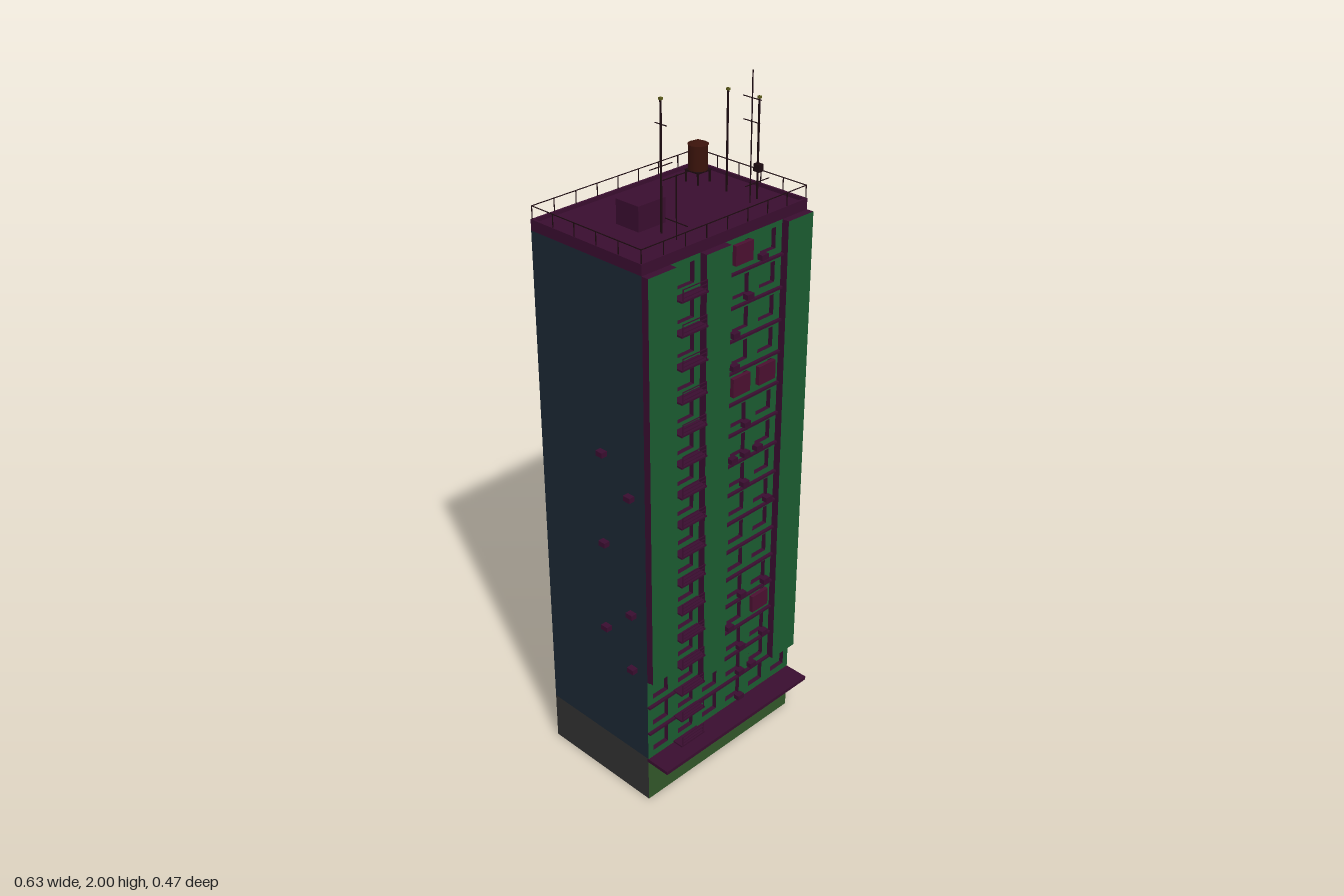
import * as THREE from 'three';

const mat = (color, side = THREE.FrontSide) => new THREE.MeshStandardMaterial({ color, side });

export function createModel() {
  const root = new THREE.Group();
  const D = THREE.DoubleSide;
  const green = mat(0x1a5a30, D), navy = mat(0x1a2733, D), purple = mat(0x390d2f, D);
  const baseGreen = mat(0x315629, D), baseGrey = mat(0x303030, D);
  const dark = mat(0x1c0a10), rust = mat(0x3a130b), shutterMat = mat(0x4a1030), tip = mat(0x5c5c1c);

  const W = 0.295, ZF = 0.16, ZB = -0.235, Y0 = 0.15, Y1 = 1.635;
  const FLOORS = 16, H = (Y1 - Y0) / FLOORS, BAY = W / 3;
  const floorY = i => Y0 + i * H;
  const colX = c => (c - 2.5) * BAY;

  const group = (name, parent = root) => {
    const g = new THREE.Group();
    g.name = name;
    parent.add(g);
    return g;
  };
  const add = (name, geo, m, x, y, z, parent = root) => {
    const mesh = new THREE.Mesh(geo, m);
    mesh.name = name;
    mesh.position.set(x, y, z);
    parent.add(mesh);
    return mesh;
  };
  // Box given by its limits on each axis
  const box = (name, m, x0, x1, y0, y1, z0, z1, parent = root) =>
    add(name, new THREE.BoxGeometry(x1 - x0, y1 - y0, z1 - z0), m,
      (x0 + x1) / 2, (y0 + y1) / 2, (z0 + z1) / 2, parent);

  // Side, back and ground floor walls, open underneath
  const zm = (ZF + ZB) / 2, depth = ZF - ZB;
  const wall = (name, m, w, y0, y1, x, z, turn) => {
    add(name, new THREE.PlaneGeometry(w, y1 - y0), m, x, (y0 + y1) / 2, z).rotation.y = turn;
  };
  for (const s of [-1, 1]) {
    wall('sideWall', navy, depth, Y0, Y1, s * W, zm, s * Math.PI / 2);
    wall('sideBase', baseGrey, depth, 0, Y0, s * W, zm, s * Math.PI / 2);
  }
  wall('backWall', green, 2 * W, Y0, Y1, 0, ZB, Math.PI);
  wall('backBase', purple, 2 * W, 0, Y0, 0, ZB, Math.PI);
  wall('frontBase', baseGreen, 2 * W, 0, Y0, 0, ZF, 0);

  // Front wall with recessed windows; pillars cover the upper floors of three bays
  const pillarStart = [3, FLOORS, 2, FLOORS, FLOORS, 1];
  const pillarSpan = [[-W, -0.2], null, [-0.097, -0.01], null, null, [0.2, W]];
  const face = new THREE.Shape([[-W, Y0], [W, Y0], [W, Y1], [-W, Y1]].map(p => new THREE.Vector2(...p)));
  const windows = group('windows');
  const s = 0.029, recess = 0.014;
  const reveal = new THREE.CylinderGeometry(s * Math.SQRT2, s * Math.SQRT2, recess, 4, 1, true)
    .toNonIndexed().rotateY(Math.PI / 4).rotateX(Math.PI / 2);
  reveal.computeVertexNormals();
  const pane = new THREE.PlaneGeometry(2 * s, 2 * s);
  for (let c = 0; c < 6; c++) {
    for (let f = 0; f < pillarStart[c]; f++) {
      const x = colX(c), y = floorY(f) + 0.05;
      face.holes.push(new THREE.Path([[-s, -s], [-s, s], [s, s], [s, -s]]
        .map(([u, v]) => new THREE.Vector2(x + u, y + v))));
      add('windowReveal', reveal, purple, x, y, ZF - recess / 2, windows);
      add('windowPane', pane, green, x, y, ZF - recess, windows);
    }
    if (pillarSpan[c]) {
      const [x0, x1] = pillarSpan[c];
      box('pillar', [purple, purple, purple, purple, green, purple],
        x0, x1, floorY(pillarStart[c]), Y1, ZF, 0.182);
    }
  }
  add('frontWall', new THREE.ShapeGeometry(face), green, 0, 0, ZF);

  // Thin ledges at each floor line
  const ledges = group('ledges');
  for (let f = 1; f < FLOORS; f++) {
    const x0 = f <= 3 ? -W : -0.01, x1 = f === 1 ? W : 0.2;
    box('ledge', purple, x0, x1, floorY(f) - 0.003, floorY(f) + 0.003, ZF, 0.169, ledges);
  }
  box('canopy', purple, -W, W, 0.138, 0.149, ZF - 0.005, 0.235);

  // Balconies with open rails
  const balconies = group('balconies');
  for (let f = 0; f < FLOORS; f++) {
    const b = group('balcony', balconies), y = floorY(f), x0 = -0.195, x1 = -0.102;
    box('balconySlab', purple, x0, x1, y, y + 0.005, ZF, 0.194, b);
    for (const h of [0.013, 0.024, 0.035])
      box('balconyRail', purple, x0 + 0.005, x1 - 0.005, y + h - 0.001, y + h + 0.001, 0.192, 0.194, b);
    for (const x of [x0 + 0.005, x1 - 0.005])
      box('balconyPost', purple, x - 0.001, x + 0.001, y, y + 0.036, 0.192, 0.194, b);
  }

  // Closed shutters over a few windows
  for (const [c, f] of [[3, 15], [3, 11], [4, 11], [4, 3]]) {
    const x = colX(c), y = floorY(f) + 0.05;
    box('shutter', shutterMat, x - 0.032, x + 0.032, y - 0.027, y + 0.027, ZF, 0.172);
  }

  // Air conditioners on the front and on both sides
  const coolers = group('airConditioners');
  const frontX = [0.022, 0.071, 0.121, 0.168];
  for (const [f, ...cols] of [[15, 2], [14, 1], [13, 0], [12, 0], [10, 1], [9, 0, 1, 2], [8, 1],
    [7, 3], [4, 1, 3], [3, 0], [2, 1, 3], [1, 1, 2], [0, 1]])
    for (const c of cols)
      add('airConditioner', new THREE.BoxGeometry(0.024, 0.015, 0.017), purple,
        frontX[c], floorY(f) + 0.018, ZF + 0.0085, coolers);
  const sideUnits = [[1, 14, 0.01], [1, 11, 0.01], [1, 9, -0.088], [1, 8, -0.088], [1, 4, 0.11],
    [-1, 10, 0.01], [-1, 9, 0.11], [-1, 7, 0.01], [-1, 5, 0.11], [-1, 4, 0.01], [-1, 3, 0.11]];
  for (const [side, f, z] of sideUnits)
    add('airConditioner', new THREE.BoxGeometry(0.018, 0.015, 0.024), purple,
      side * (W + 0.009), floorY(f) + 0.018, z, coolers);

  // Roof slab with a low rim
  const RT = 1.665, rim = 0.007;
  box('roof', purple, -W, W, Y1, 1.655, ZB, ZF);
  for (const k of [-1, 1])
    box('roofRim', purple, k * (W - rim / 2) - rim / 2, k * (W - rim / 2) + rim / 2, 1.655, RT, ZB, ZF);
  for (const z of [ZB, ZF - rim])
    box('roofRim', purple, -W + rim, W - rim, 1.655, RT, z, z + rim);

  // Roof railing
  const railing = group('railing'), t = 0.001, RX = W - 0.003, RB = ZB + 0.003, RF = ZF - 0.003;
  const post = (x, z) => box('railPost', dark, x - t, x + t, RT, 1.701, z - t, z + t, railing);
  for (const z of [RB, RF]) {
    box('handrail', dark, -RX, RX, 1.699, 1.701, z - t, z + t, railing);
    for (let i = 0; i <= 8; i++) post(-RX + i * RX / 4, z);
  }
  for (const x of [-RX, RX]) {
    box('handrail', dark, x - t, x + t, 1.699, 1.701, RB, RF, railing);
    for (let i = 1; i < 5; i++) post(x, RB + (RF - RB) * i / 5);
  }

  box('roofHut', purple, -0.15, -0.057, 1.655, 1.722, -0.08, 0);

  // Water tank on legs
  const tank = group('waterTank');
  tank.position.set(0.203, 0, -0.141);
  for (const x of [-0.022, 0.022]) for (const z of [-0.022, 0.022])
    box('tankLeg', dark, x - 0.002, x + 0.002, 1.655, 1.69, z - 0.002, z + 0.002, tank);
  box('tankPlatform', dark, -0.025, 0.025, 1.686, 1.69, -0.025, 0.025, tank);
  add('tankBody', new THREE.CylinderGeometry(0.027, 0.027, 0.07, 12), rust, 0, 1.725, 0, tank);
  add('tankLid', new THREE.ConeGeometry(0.029, 0.012, 12), rust, 0, 1.765, 0, tank);

  // Antennas: x, z, top, tipped, then cross arms as [axis, height, half length]
  const antennas = [
    [-0.113, 0.042, 1.995, true, ['x', 1.826, 0.038], ['z', 1.93, 0.02]],
    [-0.116, 0.097, 1.82, false, ['x', 1.818, 0.045], ['z', 1.7, 0.038]],
    [0.187, 0.06, 2, false, ['z', 1.93, 0.03], ['z', 1.87, 0.028]],
    [0.204, -0.038, 1.93, true],
    [0.22, 0.054, 1.926, true, ['x', 1.7, 0.045], ['z', 1.74, 0.012]],
  ];
  for (const [x, z, top, tipped, ...arms] of antennas) {
    const a = group('antenna');
    a.position.set(x, 0, z);
    const r = tipped ? 0.002 : 0.0012;
    box('mast', dark, -r, r, 1.655, top, -r, r, a);
    if (tipped) box('mastTip', tip, -0.004, 0.004, top - 0.006, top, -0.004, 0.004, a);
    for (const [axis, y, l] of arms) {
      const lx = axis === 'x' ? l : t, lz = axis === 'z' ? l : t;
      box('crossArm', dark, -lx, lx, y - t, y + t, -lz, lz, a);
    }
  }
  box('antennaBox', dark, 0.212, 0.228, 1.73, 1.75, 0.046, 0.066);
  return root;
}
